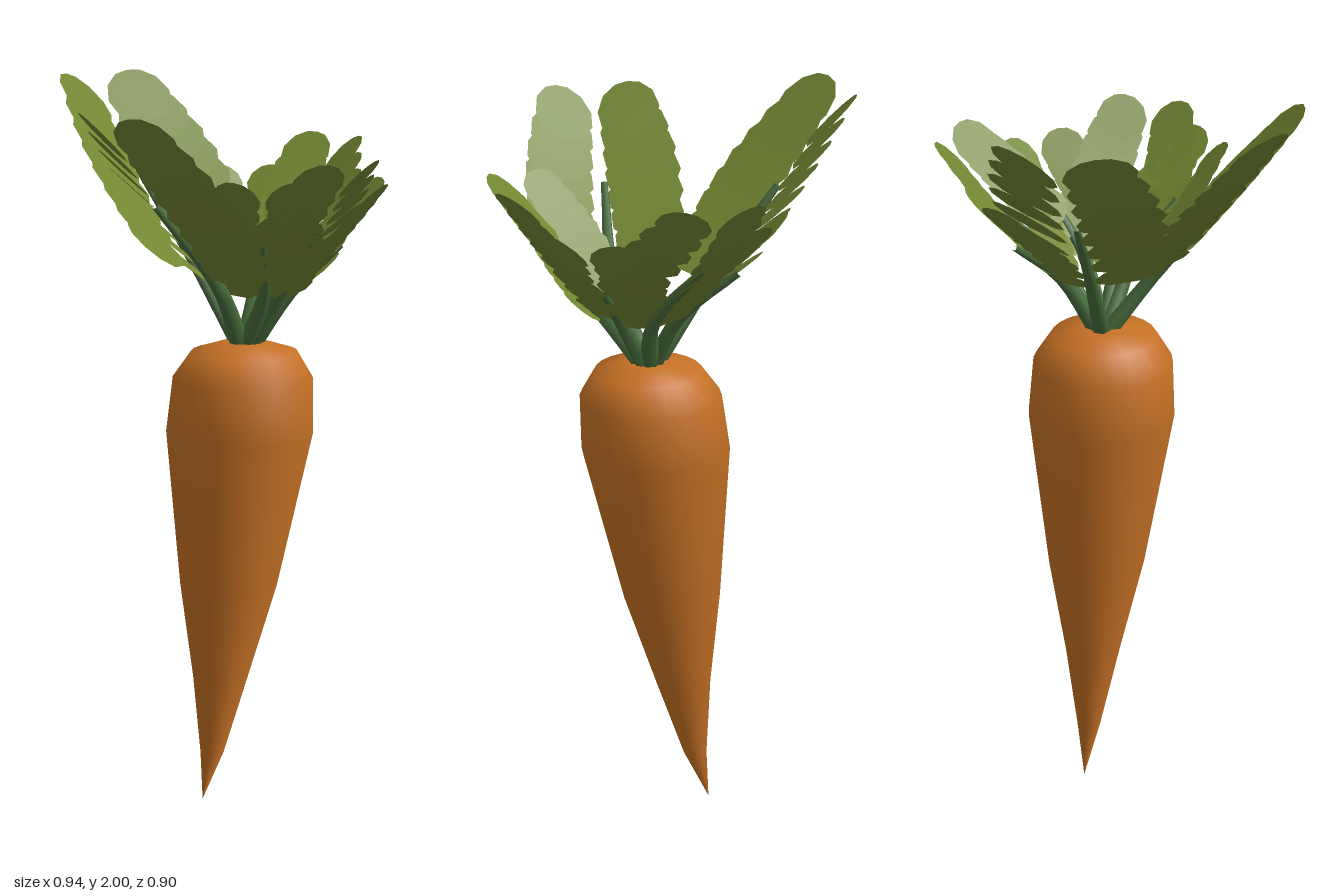
import * as THREE from 'three';
import { mergeGeometries } from 'three/addons/utils/BufferGeometryUtils.js';

const V = (x, y, z) => new THREE.Vector3(x, y, z);

// Root: lathe profile [radius, y, centre x], sheared so the tip curves sideways
function rootGeometry() {
  const rings = [
    [0, 0, -0.1], [0.032, 0.15, -0.06], [0.075, 0.38, -0.025], [0.131, 0.65, 0.008],
    [0.195, 1.08, 0.051], [0.185, 1.23, 0.064], [0.14, 1.3, 0.07], [0.06, 1.325, 0.07], [0, 1.326, 0.07],
  ];
  const geo = new THREE.LatheGeometry(rings.map(([r, y]) => new THREE.Vector2(r, y)), 24);
  const p = geo.attributes.position;
  for (let i = 0; i < p.count; i++) {
    const ring = rings[i % rings.length];
    p.setX(i, p.getX(i) + ring[2]);
    p.setZ(i, p.getZ(i) - 0.039);
  }
  return geo;
}

// Stem: six-sided tube that thins toward its end
function stemGeometry(curve) {
  const steps = 8, sides = 6;
  const geo = new THREE.TubeGeometry(curve, steps, 0.026, sides);
  const p = geo.attributes.position, v = V(0, 0, 0);
  for (let i = 0; i < p.count; i++) {
    const t = Math.floor(i / (sides + 1)) / steps;
    const c = curve.getPointAt(t);
    v.fromBufferAttribute(p, i).sub(c).multiplyScalar(1 - 0.65 * t).add(c);
    p.setXYZ(i, v.x, v.y, v.z);
  }
  return geo;
}

// Leaflet outline, one unit wide and one unit long
const leafletShape = new THREE.Shape([
  [-0.22, 0], [0.22, 0], [0.44, 0.2], [0.5, 0.48], [0.4, 0.78], [0.2, 0.96],
  [0, 1], [-0.2, 0.96], [-0.4, 0.78], [-0.5, 0.48], [-0.44, 0.2],
].map(([x, y]) => new THREE.Vector2(x, y)));

// Blade: shingled leaflets along one side of a stem, their tips leaning outward
function bladeGeometry(curve, out, size, hand) {
  const side = V(-out.z, 0, out.x).multiplyScalar(hand);
  const count = 8, leaflets = [];
  for (let i = 0; i < count; i++) {
    const k = i / (count - 1);
    const mix = (a, b) => THREE.MathUtils.lerp(a, b, k) * size;
    const width = (0.15 + 0.06 * Math.sin(Math.PI * (0.1 + 0.8 * k))) * size + 0.012;
    // the row of leaflets runs on a little past the end of the stem
    const root = curve.getPointAt(0.42 + 0.58 * k)
      .addScaledVector(out, mix(-0.02, 0.045))
      .addScaledVector(side, width * 0.47);
    root.y += mix(0.02, 0.125);
    const along = out.clone().multiplyScalar(mix(0.13, 0.125))
      .addScaledVector(side, mix(0.06, 0.02));
    along.y = mix(0.11, 0.125);
    const length = along.length();
    along.normalize();
    // outer edges rise, folding the frond into a V
    const across = side.clone().add(V(0, 0.45, 0));
    across.addScaledVector(along, -across.dot(along)).normalize();
    const normal = across.clone().cross(along);
    const m = new THREE.Matrix4().makeBasis(
      across.multiplyScalar(width), along.multiplyScalar(length), normal).setPosition(root);
    const geo = new THREE.ShapeGeometry(leafletShape).applyMatrix4(m);
    geo.computeVertexNormals();
    leaflets.push(geo);
  }
  return mergeGeometries(leaflets);
}

export function createModel() {
  const group = new THREE.Group();
  const mat = (name, color, side = THREE.FrontSide) => {
    const m = new THREE.MeshStandardMaterial({ color, side });
    m.name = name;
    return m;
  };
  const orange = mat('carrotOrange', 0xc47025);
  const stemGreen = mat('stemGreen', 0x486c3d);
  const leafGreen = mat('leafGreen', 0x728632, THREE.DoubleSide);
  const add = (name, geo, material, parent) => {
    const mesh = new THREE.Mesh(geo, material);
    mesh.name = name;
    parent.add(mesh);
  };

  add('carrotRoot', rootGeometry(), orange, group);

  // Fronds: stem middle, stem end, outward direction [x, z], leaf size
  const fronds = [
    [[-0.11, 1.535, -0.01], [-0.29, 1.75, 0.02], [-1, 0.03], 1],
    [[0.01, 1.47, -0.13], [-0.12, 1.6, -0.21], [-0.75, -0.66], 0.6],
    [[0.09, 1.48, -0.18], [0, 1.65, -0.31], [0, -1], 0.75],
    [[0.16, 1.46, -0.12], [0.23, 1.58, -0.23], [0.64, -0.77], 0.66],
    [[0.2, 1.47, -0.045], [0.34, 1.64, -0.04], [1, 0], 0.73],
    [[0.19, 1.47, 0], [0.28, 1.62, 0.09], [0.74, 0.67], 0.64],
    [[0.125, 1.49, 0.1], [0.105, 1.71, 0.29], [-0.03, 1], 0.92],
  ];
  fronds.forEach(([mid, end, [ox, oz], size], i) => {
    const out = V(ox, 0, oz).normalize();
    const start = V(0.07, 1.31, -0.04).addScaledVector(out, 0.012);
    const curve = new THREE.CatmullRomCurve3([start, V(...mid), V(...end)]);
    const frond = new THREE.Group();
    frond.name = `frond${i + 1}`;
    add('stem', stemGeometry(curve), stemGreen, frond);
    for (const hand of [-1, 1])
      add(hand < 0 ? 'bladeA' : 'bladeB', bladeGeometry(curve, out, size, hand), leafGreen, frond);
    group.add(frond);
  });
  return group;
}
